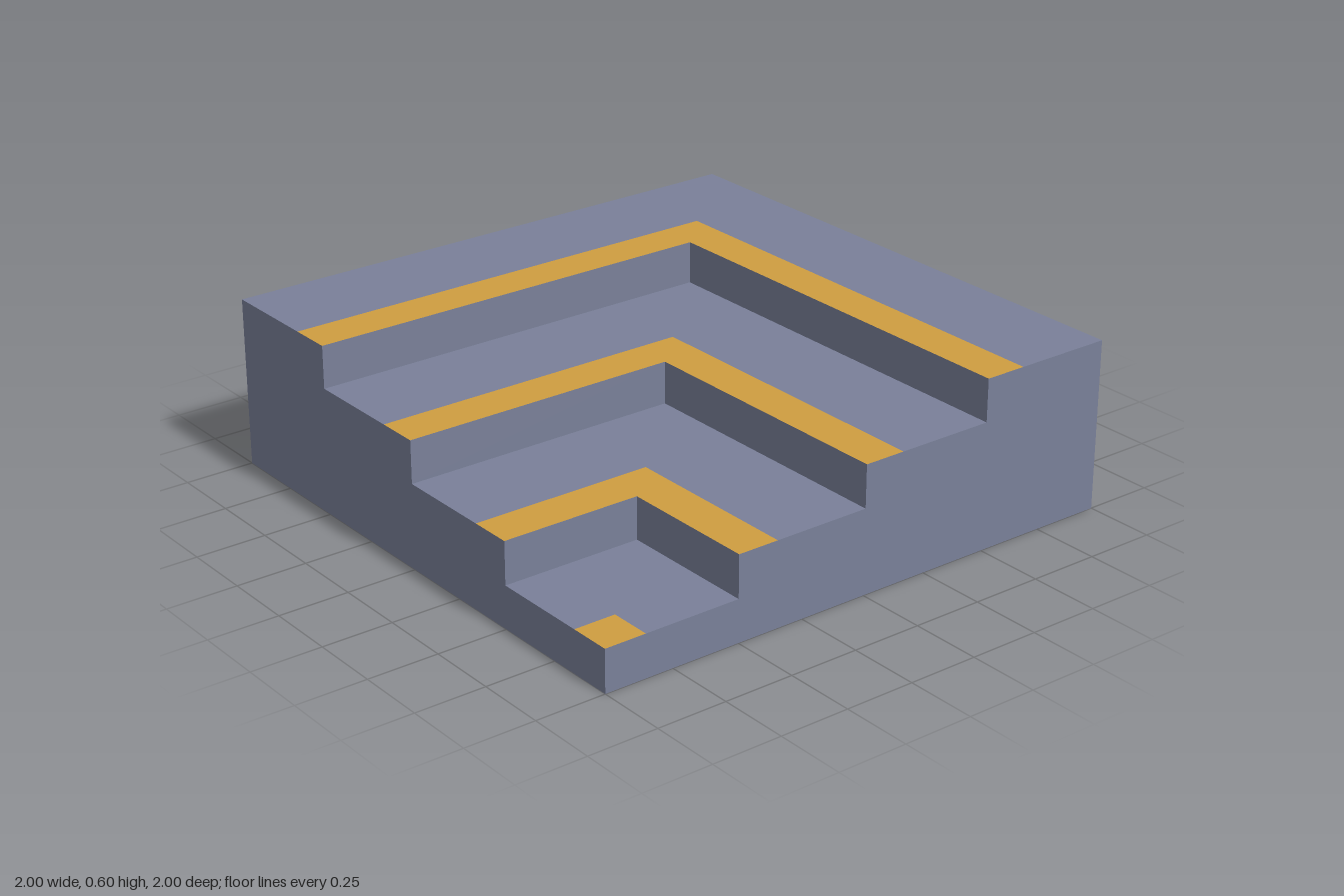
import * as THREE from 'three';

const STEPS = 4, RISE = 0.15, RUN = 0.5, STRIPE = 0.15;

export function createModel() {
  const model = new THREE.Group();
  model.name = 'cornerStairs';
  const slate = new THREE.MeshStandardMaterial({ color: 0x7a8099 });
  slate.name = 'slate';
  const amber = new THREE.MeshStandardMaterial({ color: 0xcf9e40 });
  amber.name = 'amber';

  const add = (name, geometry, material, x, y, z) => {
    const mesh = new THREE.Mesh(geometry, material);
    mesh.name = name;
    mesh.position.set(x, y, z);
    model.add(mesh);
  };
  const polygon = (points) =>
    new THREE.ShapeGeometry(new THREE.Shape(points.map(([x, y]) => new THREE.Vector2(x, y))));

  // Flat band around the low corner, between inner corner a and outer corner b
  const band = (a, b) => {
    const points = [[a, -1], [b, -1], [b, b], [-1, b]];
    if (a > -1) points.push([-1, a], [a, a]);
    return polygon(points).rotateX(-Math.PI / 2);
  };

  // Stepped wall outline; side = 1 rises towards +x, -1 towards -x
  const steppedWall = (side) => {
    const points = [[-side, 0], [side, 0]];
    for (let i = STEPS - 1; i >= 0; i--) {
      const top = RISE * (i + 1);
      const outer = i === STEPS - 1 ? 1 : -1 + RUN * (i + 1);
      points.push([side * outer, top], [side * (-1 + RUN * i), top]);
    }
    return polygon(points);
  };

  // Treads, edge stripes and risers
  for (let i = 0; i < STEPS; i++) {
    const a = -1 + RUN * i;
    const top = RISE * (i + 1);
    add('edgeStripe', band(a, a + STRIPE), amber, 0, top, 0);
    add('tread', band(a + STRIPE, a + RUN), slate, 0, top, 0);
    if (i === 0) continue;
    const length = a + 1;
    const riser = () => new THREE.PlaneGeometry(length, RISE);
    add('frontRiser', riser(), slate, -1 + length / 2, top - RISE / 2, -a);
    add('sideRiser', riser().rotateY(-Math.PI / 2), slate, a, top - RISE / 2, 1 - length / 2);
  }

  // Outer walls and underside
  const height = RISE * STEPS;
  add('frontWall', steppedWall(1), slate, 0, 0, 1);
  add('rightWall', steppedWall(-1).rotateY(-Math.PI / 2), slate, -1, 0, 0);
  add('backWall', new THREE.PlaneGeometry(2, height).rotateY(Math.PI), slate, 0, height / 2, -1);
  add('leftWall', new THREE.PlaneGeometry(2, height).rotateY(Math.PI / 2), slate, 1, height / 2, 0);
  add('underside', new THREE.PlaneGeometry(2, 2).rotateX(Math.PI / 2), slate, 0, 0, 0);

  return model;
}
